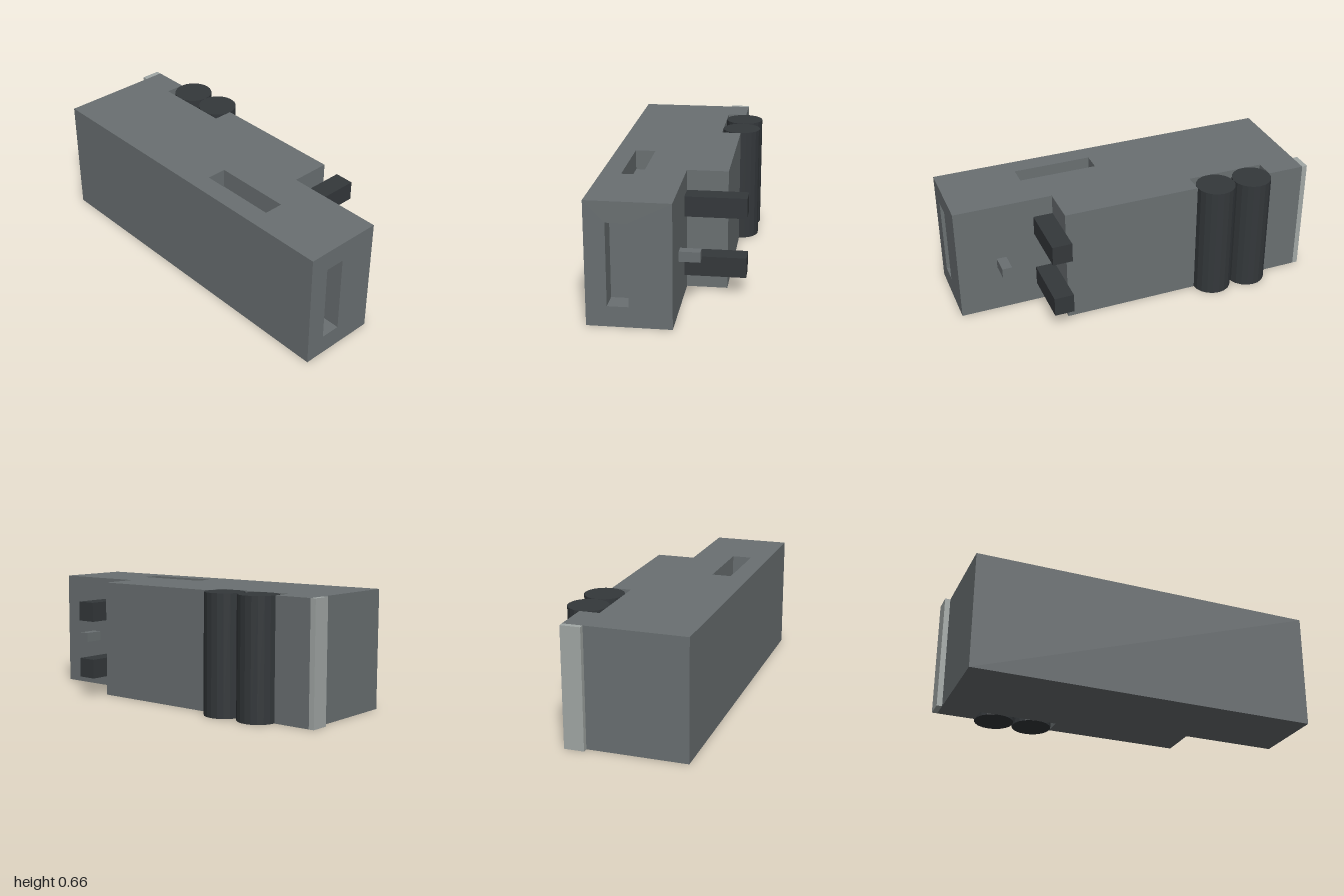
import * as THREE from 'three';
import { mergeGeometries } from 'three/addons/utils/BufferGeometryUtils.js';

const H = 0.66;   // overall height
const U = 0.11;   // module size shared by slots, arms and rollers

const mat = (color) => new THREE.MeshStandardMaterial({ color, flatShading: true });
const bodyMat = mat(0x6a7072);
const darkMat = mat(0x34383b);
const paleMat = mat(0xa2a8a6);

function polygon(points) {
  return new THREE.Shape(points.map(([x, y]) => new THREE.Vector2(x, y)));
}

function rect(x0, y0, x1, y1) {
  return polygon([[x0, y0], [x1, y0], [x1, y1], [x0, y1]]);
}

// Box given by its lowest and highest corners
function boxGeometry(min, max) {
  const g = new THREE.BoxGeometry(max[0] - min[0], max[1] - min[1], max[2] - min[2]);
  return g.translate((min[0] + max[0]) / 2, (min[1] + max[1]) / 2, (min[2] + max[2]) / 2);
}

function block(name, min, max, material) {
  const mesh = new THREE.Mesh(boxGeometry(min, max), material);
  mesh.name = name;
  return mesh;
}

// Inward-facing box without the face at the opening (0 = +x, 2 = +y)
function pocket(min, max, openFace) {
  const g = boxGeometry(min, max);
  const index = Array.from(g.index.array);
  index.splice(openFace * 6, 6);
  g.setIndex(index.reverse());
  const flat = g.toNonIndexed();
  flat.computeVertexNormals();
  return flat;
}

// Stepped housing with a rear recess and two slots
function housingGeometry() {
  // Plan outline as [x, z], counterclockwise seen from above
  const outline = [
    [-0.97, 0.383], [1, 0.383], [1, -0.055], [0.45, -0.055], [0.45, -0.275],
    [-0.318, -0.275], [-0.318, -0.165], [-0.758, -0.165], [-0.758, -0.275], [-0.97, -0.275],
  ];
  const parts = [];

  // Walls, the right one pierced by the side slot
  outline.forEach(([ax, az], i) => {
    const [bx, bz] = outline[(i + 1) % outline.length];
    const dx = bx - ax, dz = bz - az;
    const wall = rect(0, 0, Math.hypot(dx, dz), H);
    if (i === 1) wall.holes.push(rect(az - 0.275, U, az - 0.165, 5 * U));
    const g = new THREE.ShapeGeometry(wall);
    parts.push(g.rotateY(Math.atan2(-dz, dx)).translate(ax, 0, az));
  });

  // Top with its slot, and plain underside
  const top = polygon(outline.map(([x, z]) => [x, -z]));
  top.holes.push(rect(0.12, -0.275, 0.56, -0.165));
  parts.push(new THREE.ShapeGeometry(top).rotateX(-Math.PI / 2).translate(0, H, 0));
  parts.push(new THREE.ShapeGeometry(polygon(outline)).rotateX(Math.PI / 2));

  // Slot interiors
  parts.push(pocket([0.12, H - U, 0.165], [0.56, H, 0.275], 2));
  parts.push(pocket([1 - U, U, 0.165], [1, 5 * U, 0.275], 0));

  return mergeGeometries(parts.map((g) => (g.index ? g.toNonIndexed() : g)));
}

export function createModel() {
  const model = new THREE.Group();
  model.name = 'housingUnit';

  const housing = new THREE.Mesh(housingGeometry(), bodyMat);
  housing.name = 'housing';
  model.add(housing);

  // Pair of upright rollers in the rear recess
  [-0.648, -0.428].forEach((x, i) => {
    const roller = new THREE.Mesh(new THREE.CylinderGeometry(U, U, H, 20), darkMat);
    roller.name = `roller${i + 1}`;
    roller.position.set(x, H / 2, -0.273);
    model.add(roller);
  });

  // Two arms reaching back beside the step
  [U, 4 * U].forEach((y, i) => {
    model.add(block(`arm${i + 1}`, [0.45, y, -0.383], [0.56, y + U, -0.055], darkMat));
  });

  // Small tab on the stepped face and the pale strip on the rear corner
  model.add(block('tab', [0.725, 0.275, -0.165], [0.78, 0.33, -0.055], bodyMat));
  model.add(block('cornerStrip', [-1, 0, -0.275], [-0.97, H, -0.165], paleMat));

  return model;
}
